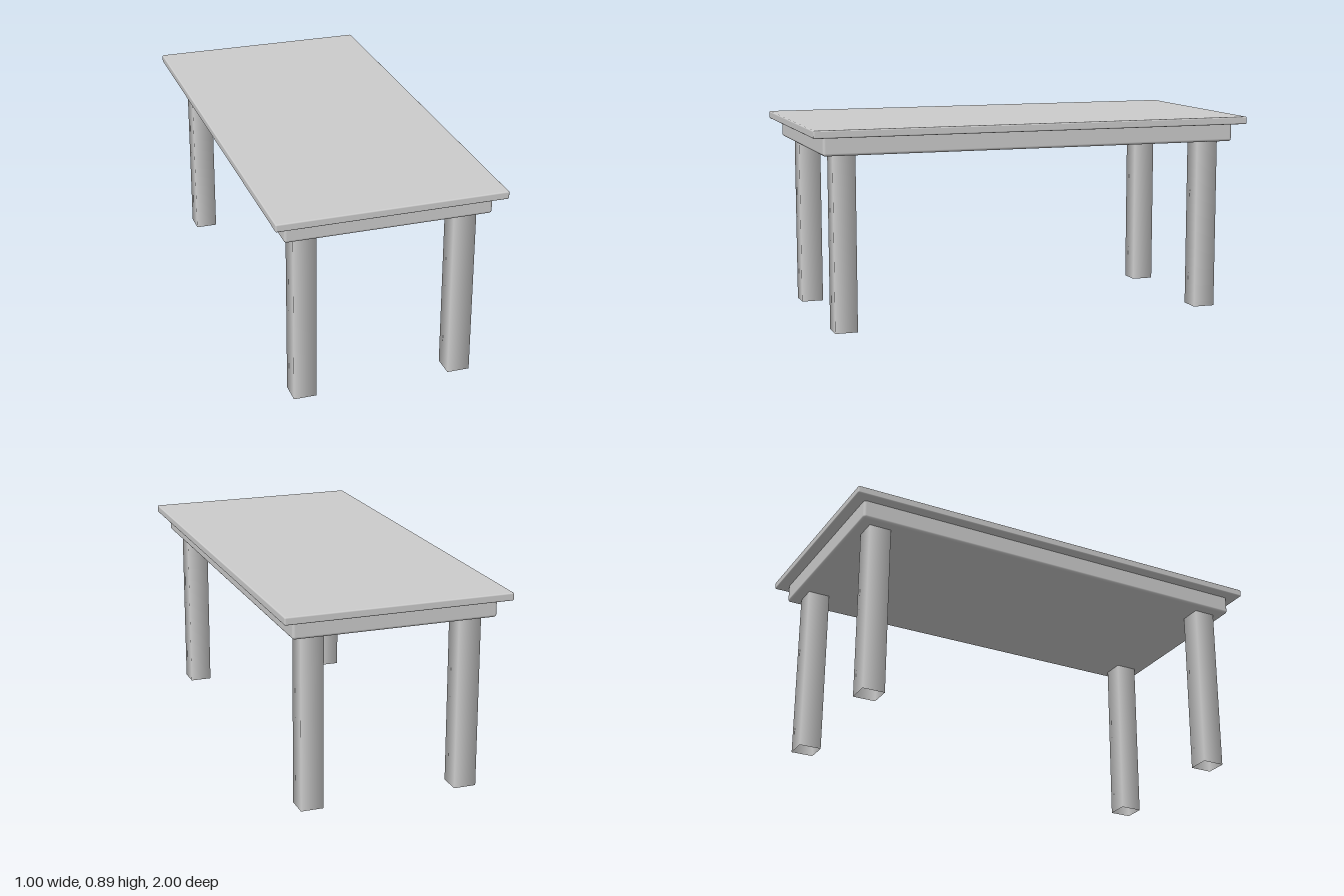
import * as THREE from 'three';
import { RoundedBoxGeometry } from 'three/addons/geometries/RoundedBoxGeometry.js';

const TOP = 0.888, TOP_BASE = 0.854, APRON_BASE = 0.773, JOINT = 0.397;
const LEG_WIDTH = 0.1;

export function createModel() {
  const table = new THREE.Group();
  table.name = 'table';
  const solid = new THREE.MeshStandardMaterial({ color: 0xcccccc });
  const hollow = new THREE.MeshStandardMaterial({ color: 0xcccccc, side: THREE.DoubleSide });

  // Slab with softened edges, spanning y0 to y1
  const slab = (name, width, depth, y0, y1, radius) => {
    const mesh = new THREE.Mesh(new RoundedBoxGeometry(width, y1 - y0, depth, 3, radius), solid);
    mesh.position.y = (y0 + y1) / 2;
    mesh.name = name;
    table.add(mesh);
  };
  slab('tabletop', 1, 2, TOP_BASE, TOP, 0.006);
  // The apron runs a little way into the tabletop
  slab('apron', 0.9, 1.9, APRON_BASE, TOP_BASE + 0.016, 0.012);

  // Square, open-ended tube with smooth shading around its corners
  const tube = (name, y0, y1) => {
    const geometry = new THREE.CylinderGeometry(
      LEG_WIDTH * Math.SQRT1_2, LEG_WIDTH * Math.SQRT1_2, y1 - y0, 4, 1, true);
    geometry.rotateY(Math.PI / 4);
    geometry.translate(0, (y0 + y1) / 2, 0);
    const mesh = new THREE.Mesh(geometry, hollow);
    mesh.name = name;
    return mesh;
  };

  // Four legs, each in a lower and an upper section
  for (const [zName, z] of [['front', 0.85], ['back', -0.85]]) {
    for (const [xName, x] of [['Left', 0.35], ['Right', -0.35]]) {
      const leg = new THREE.Group();
      leg.name = `${zName}${xName}Leg`;
      leg.add(tube('lowerLeg', 0, JOINT), tube('upperLeg', JOINT, APRON_BASE + 0.004));
      leg.position.set(x, 0, z);
      table.add(leg);
    }
  }
  return table;
}
